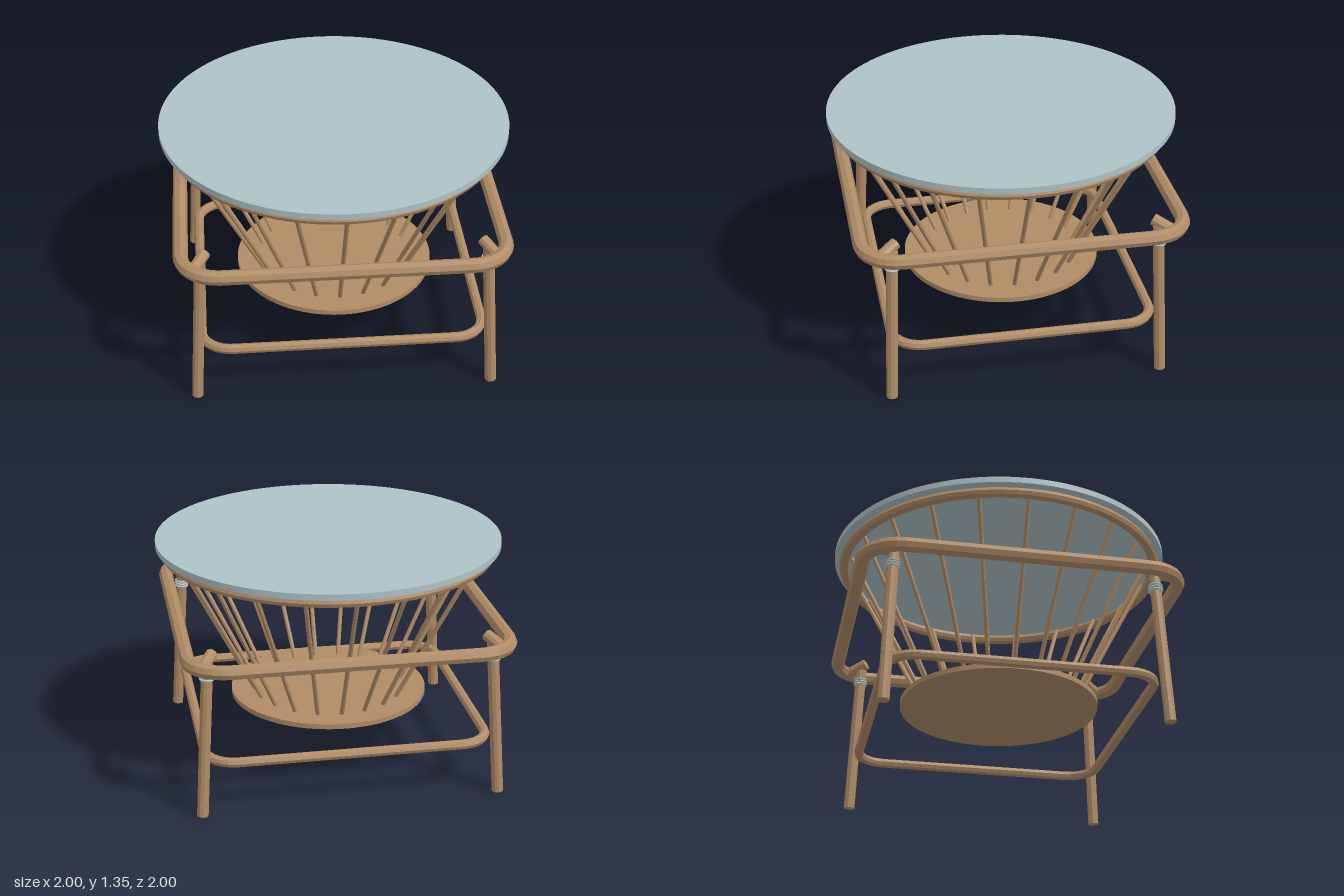
import * as THREE from 'three';

const wood = new THREE.MeshStandardMaterial({ color: 0xb08c66, flatShading: true });
wood.name = 'wood';
const paleBlue = new THREE.MeshStandardMaterial({ color: 0xaec3c7, flatShading: true });
paleBlue.name = 'pale blue glass';

function add(parent, name, geometry, material) {
  const mesh = new THREE.Mesh(geometry, material);
  mesh.name = name;
  parent.add(mesh);
  return mesh;
}

// Round bar between two points
function bar(parent, name, a, b, radius, sides) {
  const dir = b.clone().sub(a);
  const mesh = add(parent, name, new THREE.CylinderGeometry(radius, radius, dir.length(), sides), wood);
  mesh.position.copy(a).add(b).multiplyScalar(0.5);
  mesh.quaternion.setFromUnitVectors(new THREE.Vector3(0, 1, 0), dir.normalize());
  return mesh;
}

// Closed horizontal tube following a rounded rectangle
function roundedFrame(parent, name, halfX, halfZ, corner, y, radius) {
  const pts = [];
  const steps = 10;
  for (let q = 0; q < 4; q++) {
    const cx = (q === 0 || q === 3 ? 1 : -1) * (halfX - corner);
    const cz = (q < 2 ? 1 : -1) * (halfZ - corner);
    for (let i = 0; i <= steps; i++) {
      const t = (q + i / steps) * Math.PI / 2;
      pts.push(new THREE.Vector3(cx + corner * Math.cos(t), y, cz + corner * Math.sin(t)));
    }
  }
  const path = new THREE.CurvePath();
  pts.forEach((p, i) => path.add(new THREE.LineCurve3(p, pts[(i + 1) % pts.length])));
  path.arcLengthDivisions = 800;
  add(parent, name, new THREE.TubeGeometry(path, 160, radius, 8, true), wood);
}

export function createModel() {
  const table = new THREE.Group();
  table.name = 'roundTable';

  // Glass top and the hoop beneath it
  add(table, 'tableTop', new THREE.CylinderGeometry(1, 1, 0.035, 96), paleBlue).position.y = 1.3325;
  const hoop = add(table, 'topHoop', new THREE.TorusGeometry(0.942, 0.03, 8, 80), wood);
  hoop.rotation.x = Math.PI / 2;
  hoop.position.y = 1.283;

  // Bottom disc of the basket
  add(table, 'basketBase', new THREE.CylinderGeometry(0.58, 0.58, 0.03, 80), wood).position.y = 0.388;

  // Flared spindles
  const spindles = new THREE.Group();
  spindles.name = 'spindles';
  table.add(spindles);
  const count = 20;
  for (let i = 0; i < count; i++) {
    const t = (i / count) * Math.PI * 2;
    const at = (r, y) => new THREE.Vector3(r * Math.sin(t), y, r * Math.cos(t));
    bar(spindles, 'spindle', at(0.443, 0.405), at(0.9, 1.285), 0.013, 8);
  }

  // Upper frame and lower stretcher frame
  roundedFrame(table, 'upperFrame', 0.9, 0.9, 0.21, 0.91, 0.042);
  roundedFrame(table, 'lowerFrame', 0.81, 0.75, 0.17, 0.3, 0.029);

  // Splayed legs with binding rings and short pegs into the frame corners
  for (const sx of [-1, 1]) {
    for (const sz of [-1, 1]) {
      const leg = new THREE.Group();
      leg.name = 'legAssembly';
      table.add(leg);
      const at = (y) => new THREE.Vector3(sx * (0.85 - 0.06 * y), y, sz * (0.777 - 0.04 * y));
      const post = bar(leg, 'leg', at(0.002), at(0.92), 0.033, 10);
      for (const y of [0.816, 0.832, 0.848]) {
        const ring = add(leg, 'bindingRing', new THREE.TorusGeometry(0.036, 0.007, 6, 20).rotateX(Math.PI / 2), paleBlue);
        ring.position.copy(at(y));
        ring.quaternion.copy(post.quaternion);
      }
      bar(leg, 'cornerPeg', new THREE.Vector3(sx * 0.765, 0.95, sz * 0.715),
        new THREE.Vector3(sx * 0.84, 0.9, sz * 0.825), 0.034, 10);
    }
  }
  return table;
}
